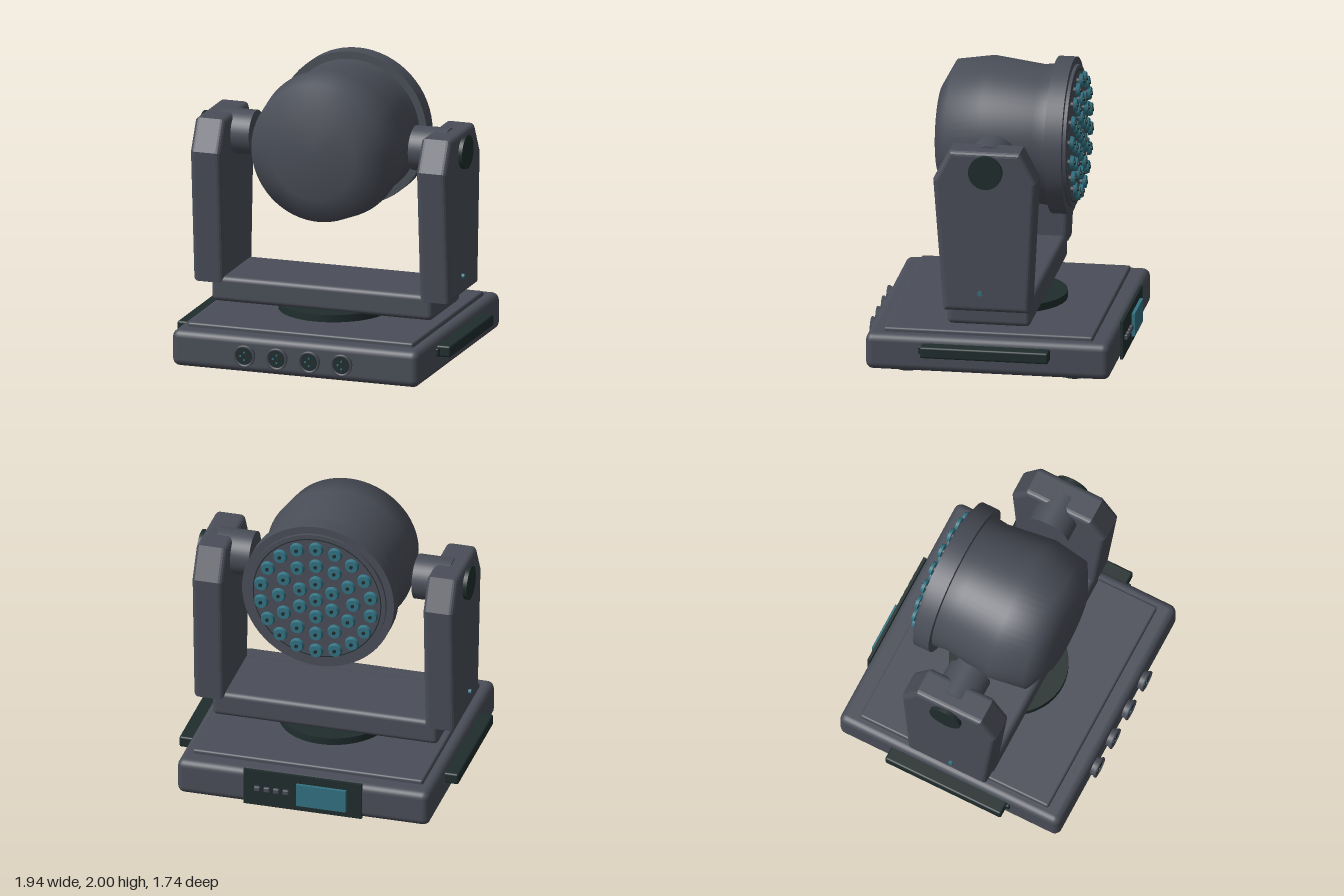
import * as THREE from 'three';
import { RoundedBoxGeometry } from 'three/addons/geometries/RoundedBoxGeometry.js';

const material = (name, color) => {
  const m = new THREE.MeshStandardMaterial({ color });
  m.name = name;
  return m;
};

export function createModel() {
  const grey = material('housing grey', 0x4a4e58);
  const dark = material('dark rubber', 0x202d2d);
  const teal = material('teal glass', 0x327282);
  const model = new THREE.Group();
  model.name = 'movingHeadLight';

  const add = (name, geometry, mat, x = 0, y = 0, z = 0, parent = model) => {
    const mesh = new THREE.Mesh(geometry, mat);
    mesh.name = name;
    mesh.position.set(x, y, z);
    parent.add(mesh);
    return mesh;
  };
  const group = (name, x = 0, y = 0, z = 0) => {
    const g = new THREE.Group();
    g.name = name;
    g.position.set(x, y, z);
    model.add(g);
    return g;
  };
  const box = (w, h, d, r) => new RoundedBoxGeometry(w, h, d, 3, r);
  const cylX = (r, l, n = 40) => new THREE.CylinderGeometry(r, r, l, n).rotateZ(Math.PI / 2);
  const cylZ = (r, l, n = 40) => new THREE.CylinderGeometry(r, r, l, n).rotateX(Math.PI / 2);

  // Base with raised top plate and turntable
  add('base', box(1.752, 0.25, 1.655, 0.05), grey, 0, 0.16, -0.005);
  add('topPlate', box(1.6, 0.06, 1.415, 0.015), grey, 0, 0.285, 0);
  add('turntable', new THREE.CylinderGeometry(0.406, 0.406, 0.06, 48), dark, 0, 0.335, 0).scale.x = 0.94;
  for (const x of [-0.665, 0.665]) {
    for (const z of [-0.565, 0.565]) {
      add('foot', new THREE.CylinderGeometry(0.084, 0.084, 0.045, 32), dark, x, 0.0225, z);
    }
  }

  // Front sockets: flared collar, dark insert and three pins
  const collar = [[0.058, 0.035], [0.062, 0.047], [0.074, 0.045], [0.075, 0.035], [0.066, 0.02], [0.066, 0]]
    .map(([r, h]) => new THREE.Vector2(r, h)).reverse();
  const collarGeometry = new THREE.LatheGeometry(collar, 36).rotateX(Math.PI / 2);
  const collarGrey = grey.clone();
  collarGrey.side = THREE.DoubleSide;
  for (const x of [-0.345, -0.115, 0.115, 0.345]) {
    const socket = group('socket', x, 0.16, 0.82);
    add('socketCollar', collarGeometry, collarGrey, 0, 0, 0, socket);
    add('socketInsert', cylZ(0.06, 0.04), dark, 0, 0, 0.018, socket);
    for (let i = 0; i < 3; i++) {
      const a = Math.PI / 2 * (i + 1) - Math.PI / 2 + Math.PI / 2;
      add('socketPin', cylZ(0.007, 0.008, 10), teal, 0.026 * Math.cos(a), 0.026 * Math.sin(a), 0.039, socket);
    }
  }

  // Rear control panel
  add('controlPanel', new THREE.BoxGeometry(0.82, 0.26, 0.02), dark, -0.005, 0.17, -0.838);
  add('screen', new THREE.BoxGeometry(0.345, 0.16, 0.024), teal, -0.137, 0.165, -0.858);
  for (let i = 0; i < 4; i++) {
    add('panelButton', box(0.042, 0.036, 0.026, 0.008), grey, 0.11 + i * 0.066, 0.17, -0.857);
  }

  // Yoke crossbar
  add('yokeCrossbar', box(1.57, 0.175, 0.565, 0.035), grey, 0, 0.4425, 0);

  // Arm profile, drawn with z across and y up
  const profile = new THREE.Shape([
    [0.29, 0.487], [-0.295, 0.487], [-0.342, 1.4], [-0.23, 1.61], [0.25, 1.61], [0.36, 1.4],
  ].map(([z, y]) => new THREE.Vector2(z, y)));
  const bevel = 0.035;
  const armGeometry = new THREE.ExtrudeGeometry(profile, {
    depth: 0.215 - 2 * bevel, bevelThickness: bevel, bevelSize: bevel, bevelOffset: -bevel, bevelSegments: 4,
  }).rotateY(-Math.PI / 2).translate(0.215 / 2 - bevel, 0, 0);

  for (const s of [-1, 1]) {
    add('yokeArm', armGeometry, grey, s * 0.8025, 0, 0);
    add('tiltHub', cylX(0.152, 0.245), grey, s * 0.6875, 1.47, 0);
    add('tiltCap', cylX(0.115, 0.04), dark, s * 0.918, 1.472, 0);
    add('armIndicator', cylX(0.016, 0.03, 16), teal, s * 0.915, 0.62, 0.037);
    add('carryHandle', box(0.115, 0.078, 0.87, 0.014), dark, s * 0.9125, 0.2, 0.003);
    add('handleEnd', box(0.03, 0.055, 0.06, 0.01), dark, s * 0.88, 0.195, 0.432);
  }

  // Lamp head, turned around the z axis
  const head = group('lampHead', 0, 1.467, 0);
  const shell = [
    [0, 0.445], [0.3, 0.443], [0.475, 0.35], [0.512, 0.105], [0.467, -0.235], [0.478, -0.34],
  ].map(([r, z]) => new THREE.Vector2(r, z)).reverse();
  add('headShell', new THREE.LatheGeometry(shell, 64).rotateX(Math.PI / 2), grey, 0, 0, 0, head);
  add('headRim', cylZ(0.528, 0.117, 64), grey, 0, 0, -0.391, head);
  add('lensFace', cylZ(0.477, 0.03, 64), grey, 0, 0, -0.456, head);
  add('lensTrim', new THREE.RingGeometry(0.44, 0.447, 64).rotateY(Math.PI), dark, 0, 0, -0.472, head);

  // Rings of lenses on the lamp face
  const stem = cylZ(0.018, 0.04, 12);
  const lens = new THREE.CylinderGeometry(0.042, 0.05, 0.024, 24).rotateX(-Math.PI / 2);
  const pip = cylZ(0.012, 0.012, 12);
  [1, 6, 12, 18].forEach((count, ring) => {
    for (let i = 0; i < count; i++) {
      const a = Math.PI / 2 + (i / count) * Math.PI * 2;
      const x = 0.129 * ring * Math.cos(a), y = 0.129 * ring * Math.sin(a);
      add('lensStem', stem, grey, x, y, -0.48, head);
      add('lens', lens, teal, x, y, -0.504, head);
      add('lensPip', pip, dark, x, y, -0.519, head);
    }
  });

  return model;
}
